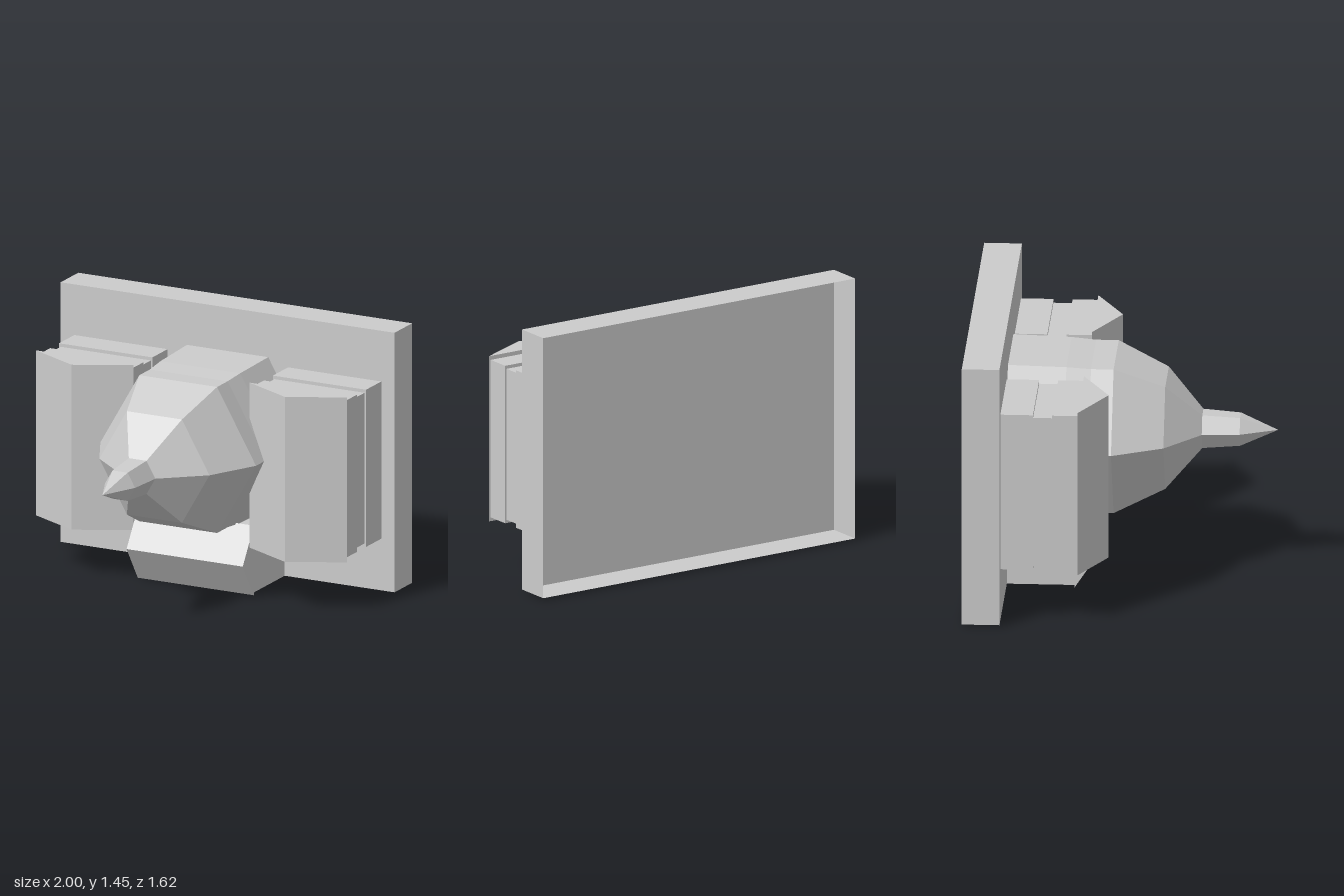
import * as THREE from 'three';

export function createModel() {
  const model = new THREE.Group();
  const grey = new THREE.MeshStandardMaterial({ color: 0xcccccc, side: THREE.DoubleSide });
  grey.name = 'light grey';

  const add = (parent, name, geometry) => {
    const mesh = new THREE.Mesh(geometry, grey);
    mesh.name = name;
    parent.add(mesh);
    return mesh;
  };

  // box given by its limits on each axis
  const block = (x0, x1, y0, y1, z0, z1) =>
    new THREE.BoxGeometry(x1 - x0, y1 - y0, z1 - z0)
      .translate((x0 + x1) / 2, (y0 + y1) / 2, (z0 + z1) / 2);

  // straight prism over a polygon
  const prism = (points, depth) =>
    new THREE.ExtrudeGeometry(
      new THREE.Shape(points.map(([x, y]) => new THREE.Vector2(x, y))),
      { depth, bevelEnabled: false });

  // back tray: a shallow box left open at the rear
  const tray = block(-1, 1, 0.012, 1.447, -0.81, -0.61);
  tray.setIndex(Array.from(tray.index.array).slice(0, 30));
  tray.clearGroups();
  add(model, 'backTray', tray);

  // six-sided nose, built along y and turned to face forward: [radius, z]
  const profile = [
    [0.487, -0.61], [0.478, -0.3], [0.466, -0.17], [0.466, -0.05],
    [0.33, 0.22], [0.106, 0.41], [0.09, 0.61], [0, 0.81],
  ].map(([r, z]) => new THREE.Vector2(r, z));
  const nose = new THREE.LatheGeometry(profile, 6, Math.PI / 2)
    .rotateX(Math.PI / 2)
    .translate(0, 0.785, 0)
    .toNonIndexed();
  nose.computeVertexNormals();
  add(model, 'hexagonalNose', nose);

  // stepped side pods with a vertical wedge at the front
  for (const side of [1, -1]) {
    const pod = new THREE.Group();
    pod.name = side > 0 ? 'leftPod' : 'rightPod';
    add(pod, 'podBase', block(0.362, 0.921, 0.298, 1.167, -0.61, -0.437));
    add(pod, 'podGroove', block(0.372, 0.912, 0.316, 1.149, -0.437, -0.336));
    add(pod, 'podCollar', block(0.362, 0.921, 0.298, 1.167, -0.336, -0.2));
    const wedge = prism([[0.348, 0.2], [0.933, 0.2], [0.64, 0.052]], 0.912)
      .rotateX(-Math.PI / 2)
      .translate(0, 0.277, 0);
    add(pod, 'podWedge', wedge);
    // the section is symmetric, so a half turn about its ridge line mirrors it
    if (side < 0) pod.position.x = -0.64 * 2;
    model.add(pod);
  }

  // lower block with a horizontal wedge at the front
  const lower = new THREE.Group();
  lower.name = 'lowerBlock';
  add(lower, 'lowerBase', block(-0.342, 0.342, 0.012, 0.372, -0.61, -0.25));
  const lowerWedge = prism([[0.25, 0], [0.25, 0.385], [0.123, 0.192]], 0.696)
    .rotateY(Math.PI / 2)
    .translate(-0.348, 0, 0);
  add(lower, 'lowerWedge', lowerWedge);
  model.add(lower);

  return model;
}
